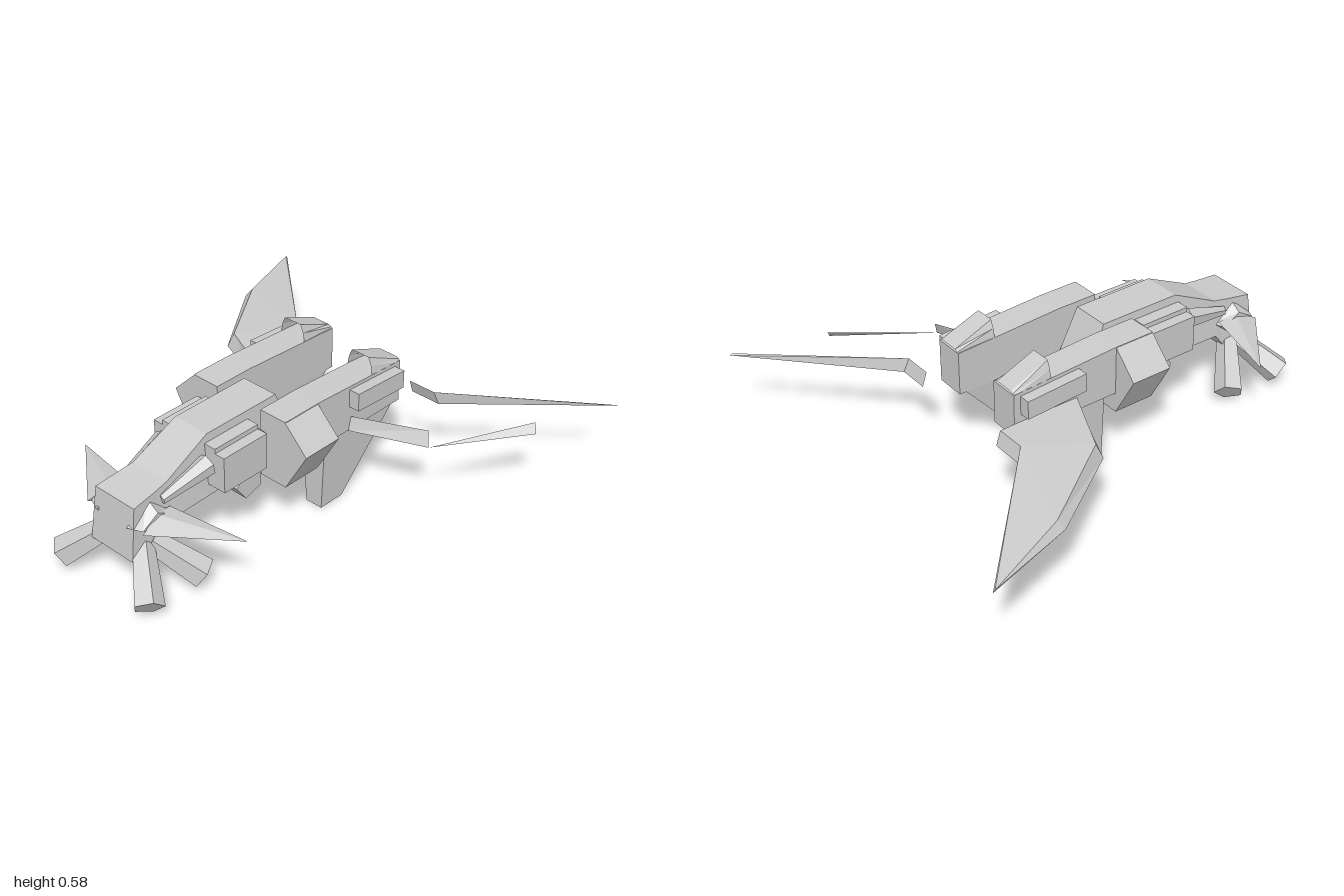
import * as THREE from 'three';

const solid = new THREE.MeshStandardMaterial({ color: 0xcccccc, flatShading: true });
const open = new THREE.MeshStandardMaterial({ color: 0xcccccc, flatShading: true, side: THREE.DoubleSide });

// Mesh from a list of triangles (three [x, y, z] corners each)
function fromTriangles(name, tris, material) {
  const geo = new THREE.BufferGeometry();
  geo.setAttribute('position', new THREE.Float32BufferAttribute(tris.flat(2), 3));
  geo.computeVertexNormals();
  const mesh = new THREE.Mesh(geo, material);
  mesh.name = name;
  return mesh;
}

// Join equal-sized rings of points; caps are fans from the first point.
// Winding is corrected by signed volume, so mirrored rings work as well.
function loft(name, rings, { capped = true, skip = [], material = solid } = {}) {
  const tris = [], n = rings[0].length;
  const fan = (r, flip) => {
    for (let i = 1; i < n - 1; i++) tris.push(flip ? [r[0], r[i + 1], r[i]] : [r[0], r[i], r[i + 1]]);
  };
  for (let k = 0; k < rings.length - 1; k++) {
    for (let i = 0; i < n; i++) {
      if (skip.includes(i)) continue;
      const j = (i + 1) % n, a = rings[k], b = rings[k + 1];
      tris.push([a[i], a[j], b[j]], [a[i], b[j], b[i]]);
    }
  }
  if (capped) {
    fan(rings[0], true);
    fan(rings[rings.length - 1], false);
    const [a, b, c] = [0, 1, 2].map(() => new THREE.Vector3());
    let volume = 0;
    for (const t of tris) volume += a.fromArray(t[0]).dot(b.fromArray(t[1]).cross(c.fromArray(t[2])));
    if (volume < 0) tris.forEach((t) => t.reverse());
  }
  return fromTriangles(name, tris, material);
}

// Tapered prism between two points
function strut(name, from, to, r0, r1, sides) {
  const a = new THREE.Vector3(...from), b = new THREE.Vector3(...to);
  const mesh = new THREE.Mesh(new THREE.CylinderGeometry(r1, r0, a.distanceTo(b), sides), solid);
  mesh.position.copy(a).lerp(b, 0.5);
  mesh.quaternion.setFromUnitVectors(new THREE.Vector3(0, 1, 0), b.clone().sub(a).normalize());
  mesh.name = name;
  return mesh;
}

// Four-cornered ring across z: x0..x1, bottom..top
const rect = (z, x0, x1, y0, y1) => [[x0, y0, z], [x1, y0, z], [x1, y1, z], [x0, y1, z]];

// Wing outlines, beginning at the concave trailing corner
const wingBottom = [[0.38, 0.32, -0.515], [0.245, 0.32, -0.515], [0.245, 0.32, -0.125],
  [0.545, 0.32, -0.25], [0.79, 0.32, -0.61], [0.907, 0.318, -1]];
const wingTop = [[0.37, 0.38, -0.495], [0.245, 0.38, -0.495], [0.245, 0.38, -0.14],
  [0.525, 0.38, -0.27], [0.768, 0.355, -0.63], [0.905, 0.325, -0.99]];

// Everything that exists on both sides; s = +1 is the left
function buildSide(s) {
  const g = new THREE.Group();
  g.name = s > 0 ? 'leftSide' : 'rightSide';
  const m = (ring) => ring.map(([x, y, z]) => [x * s, y, z]);

  // Engine pod
  g.add(loft('enginePod', [
    rect(0.225, 0.115, 0.243, 0.3, 0.53),
    rect(0.05, 0.115, 0.243, 0.32, 0.53),
    rect(-0.43, 0.115, 0.243, 0.32, 0.505),
  ].map(m)));
  const block = [[0.115, 0.235], [0.245, 0.235], [0.35, 0.42], [0.24, 0.53], [0.115, 0.53]];
  g.add(loft('shoulderBlock', [0.23, 0.05].map((z) => m(block.map(([x, y]) => [x, y, z])))));
  const side = (z, y) => rect(z, 0.235, 0.29, y, y + 0.078);
  g.add(loft('podSidePanel', [m(side(-0.13, 0.428)), m(side(-0.4, 0.412))]));

  // Scoop, open to the front
  const hood = [[0.115, 0], [0.123, 0.55], [0.137, 1], [0.222, 1], [0.236, 0.55], [0.243, 0]];
  g.add(loft('exhaustHood', [[-0.26, 0.51, 0.075], [-0.43, 0.5, 0.015]].map(([z, y, h]) =>
    m(hood.map(([x, t]) => [x, y + t * h, z]))), { capped: false, material: open }));

  // Thick swept fin below the pod
  const fin = (y, x0, x1, z1) => [[x0, y, 0], [x1, y, 0], [x1, y, z1], [x0, y, z1]];
  g.add(loft('lowerFin', [m(fin(0.001, 0.143, 0.222, -0.12)), m(fin(0.32, 0.118, 0.235, -0.4))]));

  // Wing: full surface on the right, bare edge strips on the left
  if (s < 0) {
    g.add(loft('wing', [m(wingBottom), m(wingTop)]));
  } else {
    g.add(loft('wingFrame', [wingBottom, wingTop], { capped: false, skip: [1, 3, 4], material: open }));
    g.add(fromTriangles('wingEdge', [[wingBottom[3], wingBottom[4], wingTop[4]]], open));
  }

  // Side box with a bevelled rear, and the drum beneath it
  g.add(loft('sideBox', [
    rect(0.495, 0.07, 0.187, 0.32, 0.475),
    rect(0.27, 0.07, 0.187, 0.32, 0.475),
    rect(0.25, 0.07, 0.15, 0.335, 0.46),
  ].map(m)));
  g.add(loft('sideBoxLid', [rect(0.495, 0.07, 0.14, 0.47, 0.495), rect(0.27, 0.07, 0.14, 0.47, 0.495)].map(m)));
  g.add(strut('sideDrum', [0.06 * s, 0.275, 0.335], [0.16 * s, 0.275, 0.335], 0.07, 0.07, 5));

  // Flared tube beside the neck
  g.add(strut('neckTube', [0.1 * s, 0.375, 0.73], [0.115 * s, 0.427, 0.51], 0.02, 0.045, 6));

  // Diamond collar and horn on the head
  const diamond = (x, r, h, z = 0.785) => [[x, 0.32 + h, z], [x, 0.32, z + r], [x, 0.32 - h, z], [x, 0.32, z - r]];
  g.add(loft('hornCollar', [m(diamond(0.08, 0.1, 0.085)), m(diamond(0.14, 0.075, 0.045))]));
  const base = m([[0.125, 0.35, 0.78], [0.15, 0.315, 0.87], [0.125, 0.28, 0.78], [0.11, 0.335, 0.7]]);
  const tip = m(Array(4).fill([0.44, 0.308, 0.63]));
  g.add(loft('horn', [base, tip]));

  // Splayed legs
  for (const dz of [1, -1]) {
    g.add(strut(dz > 0 ? 'frontLeg' : 'rearLeg',
      [0.085 * s, 0.21, 0.8 + dz * 0.02], [0.237 * s, 0.072, 0.8 + dz * 0.138], 0.045, 0.062, 5));
  }
  return g;
}

export function createModel() {
  const root = new THREE.Group();
  root.name = 'craft';
  const craft = new THREE.Group();
  craft.name = 'hull';
  craft.position.x = -0.005;
  root.add(craft);

  // Central body: [zTop, yTop, halfTop, zBottom, yBottom, halfBottom] from tail to face
  const sections = [
    [0.115, 0.53, 0.083, 0.01, 0.27, 0.107],
    [0.25, 0.53, 0.083, 0.25, 0.27, 0.105],
    [0.48, 0.53, 0.083, 0.48, 0.27, 0.105],
    [0.69, 0.43, 0.09, 0.69, 0.27, 0.11],
    [0.75, 0.42, 0.095, 0.75, 0.19, 0.112],
    [0.865, 0.405, 0.103, 0.893, 0.183, 0.112],
  ];
  craft.add(loft('body', sections.map(([zt, yt, wt, zb, yb, wb]) =>
    [[-wb, yb, zb], [wb, yb, zb], [wt, yt, zt], [-wt, yt, zt]])));

  for (const s of [1, -1]) craft.add(buildSide(s));
  return root;
}
